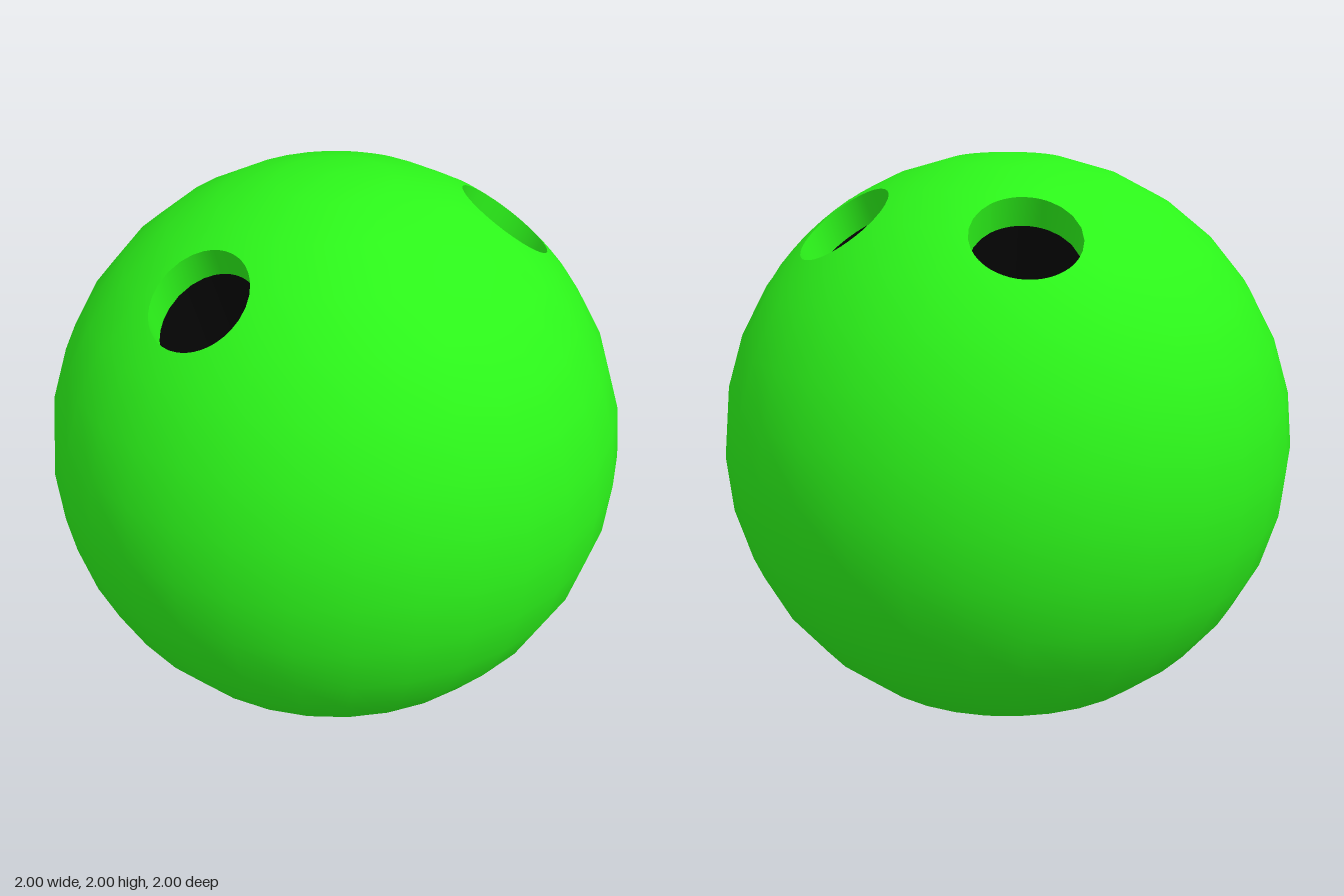
import * as THREE from 'three';
import { mergeGeometries } from 'three/addons/utils/BufferGeometryUtils.js';

const COLS = 32, ROWS = 16, STEP = Math.PI / 16;
const HOLE_RADIUS = 0.18, COLLAR_DEPTH = 0.105, WELL_DEPTH = 0.4;

// Finger holes: rim centre direction and drilling axis (both pointing outward)
const HOLES = [
  { name: 'thumbHole', dir: [-0.02, 0.78, 0.62], axis: [-0.01, 0.92, 0.38] },
  { name: 'leftFingerHole', dir: [0.365, 0.805, -0.46], axis: [0.19, 0.93, -0.31] },
  { name: 'rightFingerHole', dir: [-0.33, 0.82, -0.455], axis: [-0.19, 0.93, -0.31] },
];

// Point of the unit ball at column i and row j
function ballPoint(i, j) {
  const a = i * STEP, p = j * STEP;
  return new THREE.Vector3(Math.sin(p) * Math.sin(a), Math.cos(p), Math.sin(p) * Math.cos(a));
}

function buildGeometry(points, index) {
  const g = new THREE.BufferGeometry().setFromPoints(points);
  g.setIndex(index);
  g.computeVertexNormals();
  return g;
}

// Skin joining closed rings that have equal point counts
function loft(rings) {
  const n = rings[0].length, index = [];
  for (let r = 0; r < rings.length - 1; r++) {
    for (let k = 0; k < n; k++) {
      const a = r * n + k, b = r * n + (k + 1) % n;
      index.push(a, b, b + n, a, b + n, a + n);
    }
  }
  return buildGeometry(rings.flat(), index);
}

// Flat disc closing a ring
function cap(ring) {
  const centre = new THREE.Vector3();
  ring.forEach((p) => centre.addScaledVector(p, 1 / ring.length));
  const index = [];
  ring.forEach((_, k) => index.push(k, (k + 1) % ring.length, ring.length));
  return buildGeometry([...ring, centre], index);
}

// Block of grid cells around a hole, its outline and the round rim
function layOutHole({ name, dir, axis }) {
  const centre = new THREE.Vector3(...dir).normalize();
  const axisDir = new THREE.Vector3(...axis).normalize();
  const polar = Math.acos(centre.y), azimuth = Math.atan2(centre.x, centre.z);
  const radius = Math.asin(HOLE_RADIUS);
  const spread = Math.asin(Math.sin(radius) / Math.sin(polar));
  const i0 = Math.floor((azimuth - spread) / STEP - 0.1);
  const i1 = Math.ceil((azimuth + spread) / STEP + 0.1);
  const j0 = Math.floor((polar - radius) / STEP - 0.1);
  const j1 = Math.ceil((polar + radius) / STEP + 0.1);

  const corners = [];
  for (let i = i0; i < i1; i++) corners.push(ballPoint(i, j1));
  for (let j = j1; j > j0; j--) corners.push(ballPoint(i1, j));
  for (let i = i1; i > i0; i--) corners.push(ballPoint(i, j0));
  for (let j = j0; j < j1; j++) corners.push(ballPoint(i0, j));

  // Divide each outline edge in three for a rounder rim
  const outline = corners.flatMap((p, k) => [0, 1, 2].map(
    (s) => p.clone().lerp(corners[(k + 1) % corners.length], s / 3)));
  const rim = outline.map((p) => p.clone()
    .addScaledVector(centre, -p.dot(centre))
    .setLength(HOLE_RADIUS)
    .addScaledVector(centre, Math.cos(radius)));

  const covers = (i, j) => j >= j0 && j < j1 &&
    THREE.MathUtils.euclideanModulo(i - i0, COLS) < i1 - i0;
  const sunk = (depth) => rim.map((p) => p.clone().addScaledVector(axisDir, -depth));
  return { name, outline, rim, covers, sunk };
}

// Ball surface: the grid without the hole blocks, plus a ring patch at each hole
function shellGeometry(holes) {
  const points = [], index = [];
  for (let j = 0; j <= ROWS; j++) {
    for (let i = 0; i <= COLS; i++) points.push(ballPoint(i, j));
  }
  for (let j = 0; j < ROWS; j++) {
    for (let i = 0; i < COLS; i++) {
      if (holes.some((h) => h.covers(i, j))) continue;
      const a = j * (COLS + 1) + i, b = a + COLS + 1;
      if (j < ROWS - 1) index.push(a, b, b + 1);
      if (j > 0) index.push(a, b + 1, a + 1);
    }
  }
  const patches = holes.map(({ outline, rim }) => {
    const between = [0.33, 0.67].map(
      (t) => outline.map((p, k) => p.clone().lerp(rim[k], t).normalize()));
    return loft([outline, ...between, rim]);
  });
  const shell = mergeGeometries([buildGeometry(points, index), ...patches]);

  // Spherical normals keep the patches seamless
  const pos = shell.attributes.position, v = new THREE.Vector3();
  for (let k = 0; k < pos.count; k++) {
    v.fromBufferAttribute(pos, k).normalize();
    shell.attributes.normal.setXYZ(k, v.x, v.y, v.z);
  }
  return shell;
}

export function createModel() {
  const green = new THREE.MeshStandardMaterial({ color: 0x2cf51a, side: THREE.DoubleSide });
  const black = new THREE.MeshStandardMaterial({ color: 0x050505, side: THREE.DoubleSide });
  const model = new THREE.Group();
  model.name = 'ball';

  function addPart(parent, name, geometry, material) {
    const mesh = new THREE.Mesh(geometry, material);
    mesh.name = name;
    parent.add(mesh);
  }

  const body = new THREE.Group();
  body.name = 'ballBody';
  body.position.y = 1;
  model.add(body);

  const holes = HOLES.map(layOutHole);
  addPart(body, 'shell', shellGeometry(holes), green);

  // Each hole: a short green collar above a black well
  for (const { name, rim, sunk } of holes) {
    const hole = new THREE.Group();
    hole.name = name;
    const step = sunk(COLLAR_DEPTH), bottom = sunk(WELL_DEPTH);
    addPart(hole, 'collar', loft([rim, step]), green);
    addPart(hole, 'wellWall', loft([step, bottom]), black);
    addPart(hole, 'wellFloor', cap(bottom), black);
    body.add(hole);
  }
  return model;
}
